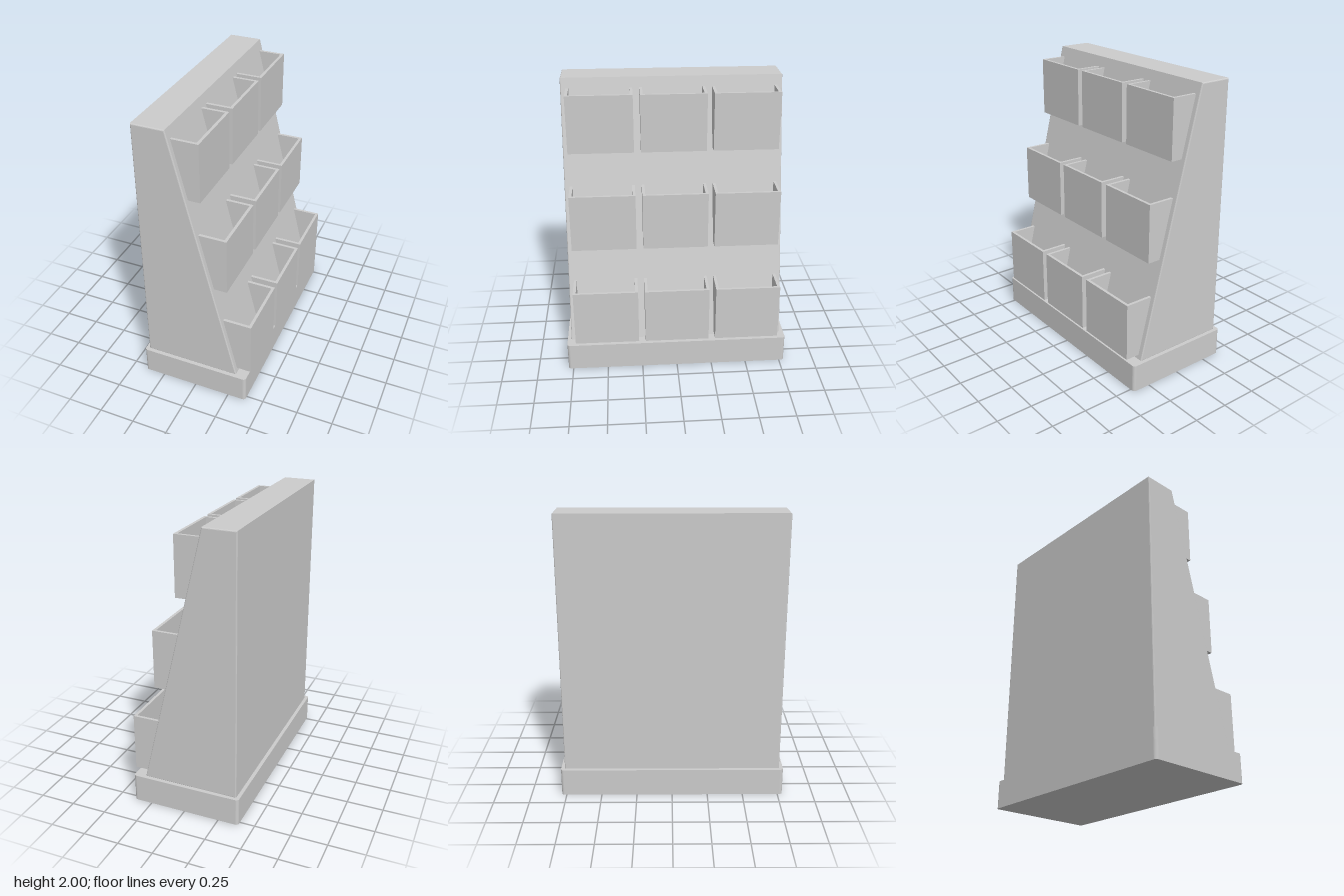
import * as THREE from 'three';

const material = new THREE.MeshStandardMaterial({ color: 0xcccccc });

// x of the sloped display face at height y
const slopeX = (y) => 0.3 + (y - 0.195) * (-0.145 - 0.3) / (2 - 0.195);

// Extrude an x-y outline along z, centred on z
function slab(name, points, depth, z = 0, bevel = 0) {
  const shape = new THREE.Shape(points.map(([x, y]) => new THREE.Vector2(x, y)));
  const geometry = new THREE.ExtrudeGeometry(shape, {
    depth: depth - 2 * bevel, bevelEnabled: bevel > 0, bevelSize: bevel,
    bevelThickness: bevel, bevelOffset: -bevel, bevelSegments: 3,
  });
  geometry.translate(0, 0, z - depth / 2 + bevel);
  const mesh = new THREE.Mesh(geometry, material);
  mesh.name = name;
  return mesh;
}

// Plinth with rounded vertical corners
function createPlinth() {
  const x0 = -0.395, x1 = 0.38, z = 0.785, r = 0.022;
  const shape = new THREE.Shape();
  shape.absarc(x1 - r, z - r, r, 0, Math.PI / 2);
  shape.absarc(x0 + r, z - r, r, Math.PI / 2, Math.PI);
  shape.absarc(x0 + r, -z + r, r, Math.PI, Math.PI * 1.5);
  shape.absarc(x1 - r, -z + r, r, Math.PI * 1.5, Math.PI * 2);
  const geometry = new THREE.ExtrudeGeometry(shape, { depth: 0.195, bevelEnabled: false, curveSegments: 6 });
  geometry.rotateX(-Math.PI / 2);
  const mesh = new THREE.Mesh(geometry, material);
  mesh.name = 'plinth';
  return mesh;
}

// Open-topped pocket whose back is the sloped face
function createPocket(y, front, z) {
  const pocket = new THREE.Group();
  pocket.name = 'pocket';
  const top = y + 0.403, wall = 0.02, width = 0.45, sink = 0.004;
  const back = (h) => slopeX(h) - sink;
  const inner = front - wall;
  const side = [[back(y), y], [front, y], [front, top], [back(top), top]];
  for (const s of [-1, 1]) {
    pocket.add(slab('pocketSide', side, wall, z + s * (width - wall) / 2));
  }
  const span = width - 2 * wall;
  pocket.add(slab('pocketFront', [[inner, y], [front, y], [front, top], [inner, top]], span, z));
  const floorTop = y + wall;
  pocket.add(slab('pocketFloor',
    [[back(y), y], [inner, y], [inner, floorTop], [back(floorTop), floorTop]], span, z));
  return pocket;
}

export function createModel() {
  const model = new THREE.Group();
  model.name = 'displayStand';
  model.add(createPlinth());

  // Wedge-shaped body
  model.add(slab('body', [[-0.37, 0.19], [slopeX(0.19), 0.19], [-0.145, 2], [-0.37, 2]], 1.516, 0, 0.008));

  // Three rows of three pockets
  for (const [y, front] of [[0.223, 0.393], [0.877, 0.223], [1.527, 0.054]]) {
    for (const z of [-0.497, 0, 0.497]) model.add(createPocket(y, front, z));
  }
  return model;
}
